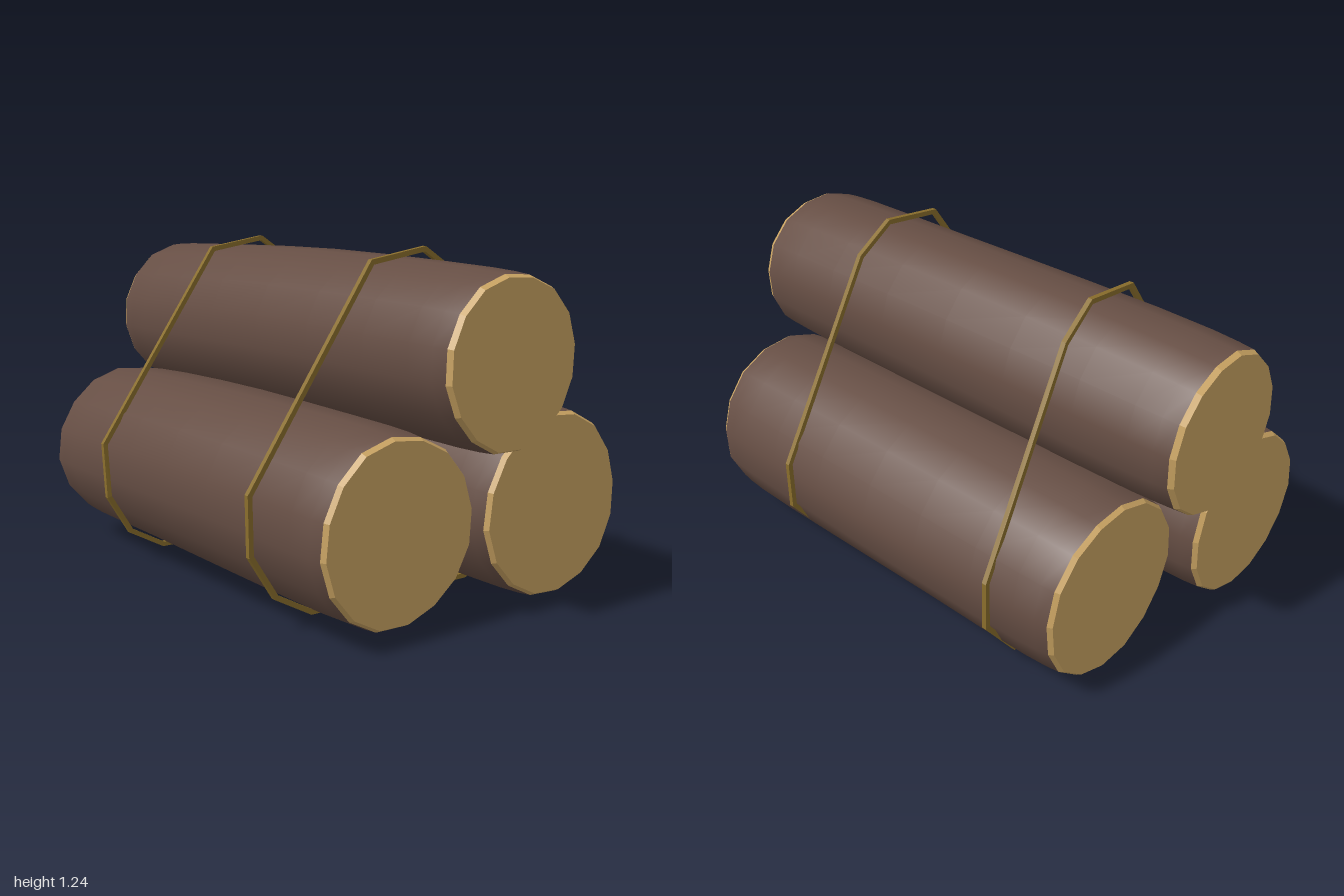
import * as THREE from 'three';

const SIDES = 16;
const bark = new THREE.MeshStandardMaterial({ color: 0x664e44 });
const cutWood = new THREE.MeshStandardMaterial({ color: 0xc9a362, flatShading: true });
const cord = new THREE.MeshStandardMaterial({ color: 0x8a6e2c, flatShading: true });

// Skin a list of closed cross-sections; optionally join the last to the first
function loft(rows, closed = false) {
  const n = rows[0].length, index = [];
  const spans = closed ? rows.length : rows.length - 1;
  for (let i = 0; i < spans; i++) {
    const a = i * n, b = ((i + 1) % rows.length) * n;
    for (let j = 0; j < n; j++) {
      const k = (j + 1) % n;
      index.push(a + j, a + k, b + j, a + k, b + k, b + j);
    }
  }
  const geo = new THREE.BufferGeometry();
  geo.setAttribute('position', new THREE.Float32BufferAttribute(rows.flat(2), 3));
  geo.setIndex(index);
  geo.computeVertexNormals();
  return geo;
}

function addMesh(parent, name, geo, material) {
  const mesh = new THREE.Mesh(geo, material);
  mesh.name = name;
  parent.add(mesh);
}

// Slightly bowed, uneven log with tapered ends and bevelled cut faces
function makeLog({ name, x0, x1, y, z, r, bowY, bowZ, seed }) {
  const log = new THREE.Group();
  log.name = name;
  const ring = (t, scale) => {
    const bow = Math.sin(Math.PI * t);
    return Array.from({ length: SIDES }, (_, j) => {
      const a = (j / SIDES) * Math.PI * 2 + seed;
      const rough = 1 + 0.01 * Math.sin(3 * a + seed * 5 + t * 4) + 0.006 * Math.sin(5 * a - t * 7);
      const rad = r * scale * rough;
      return [x0 + (x1 - x0) * t, y + bowY * bow + rad * Math.cos(a), z + bowZ * bow + rad * Math.sin(a)];
    });
  };
  const profile = [[0.01, 0.95], [0.04, 0.968], [0.09, 0.985], [0.2, 0.998], [0.35, 1], [0.5, 1],
    [0.65, 0.995], [0.8, 0.99], [0.91, 0.982], [0.96, 0.968], [0.99, 0.95]];
  addMesh(log, 'bark', loft(profile.map(([t, s]) => ring(t, s))), bark);
  addMesh(log, 'rightCutFace', loft([ring(0, 0), ring(0, 0.92), ring(0.01, 0.95)]), cutWood);
  addMesh(log, 'leftCutFace', loft([ring(0.99, 0.95), ring(1, 0.92), ring(1, 0)]), cutWood);
  return log;
}

// Shared rope loop: [z, y, x on the right rope, x on the left rope]
const ropePath = [
  [0.175, 1.195, -0.46, 0.5], [-0.07, 1.23, -0.48, 0.49], [-0.22, 1.14, -0.5, 0.485],
  [-0.677, 0.465, -0.575, 0.43], [-0.677, 0.28, -0.575, 0.43], [-0.51, 0.062, -0.55, 0.455],
  [-0.3, 0.012, -0.51, 0.485], [0.43, 0.04, -0.465, 0.5], [0.58, 0.125, -0.45, 0.505],
  [0.677, 0.28, -0.435, 0.505], [0.677, 0.48, -0.455, 0.5],
];

// Square cord, mitred at every corner of the loop
function ropeGeometry(column) {
  const h = 0.009, n = ropePath.length;
  const normal = (p, q) => new THREE.Vector2(q[1] - p[1], p[0] - q[0]).normalize();
  return loft(ropePath.map((p, i) => {
    const n0 = normal(ropePath[(i + n - 1) % n], p), n1 = normal(p, ropePath[(i + 1) % n]);
    const m = n0.clone().add(n1).normalize();
    m.multiplyScalar(h / m.dot(n1));
    return [[1, -1], [1, 1], [-1, 1], [-1, -1]].map(([s, e]) =>
      [p[column] + e * h, p[1] + s * m.y, p[0] + s * m.x]);
  }), true);
}

export function createModel() {
  const model = new THREE.Group();
  model.name = 'logBundle';
  [
    { name: 'topLog', x0: -0.995, x1: 0.995, y: 0.897, z: 0, r: 0.302, bowY: 0.012, bowZ: -0.005, seed: 0.15 },
    { name: 'frontLog', x0: -0.92, x1: 0.845, y: 0.37, z: 0.333, r: 0.332, bowY: 0.012, bowZ: 0.005, seed: 0.5 },
    { name: 'backLog', x0: -0.83, x1: 0.89, y: 0.367, z: -0.327, r: 0.343, bowY: 0.005, bowZ: -0.004, seed: 0.9 },
  ].forEach((spec) => model.add(makeLog(spec)));
  addMesh(model, 'rightRope', ropeGeometry(2), cord);
  addMesh(model, 'leftRope', ropeGeometry(3), cord);
  return model;
}
